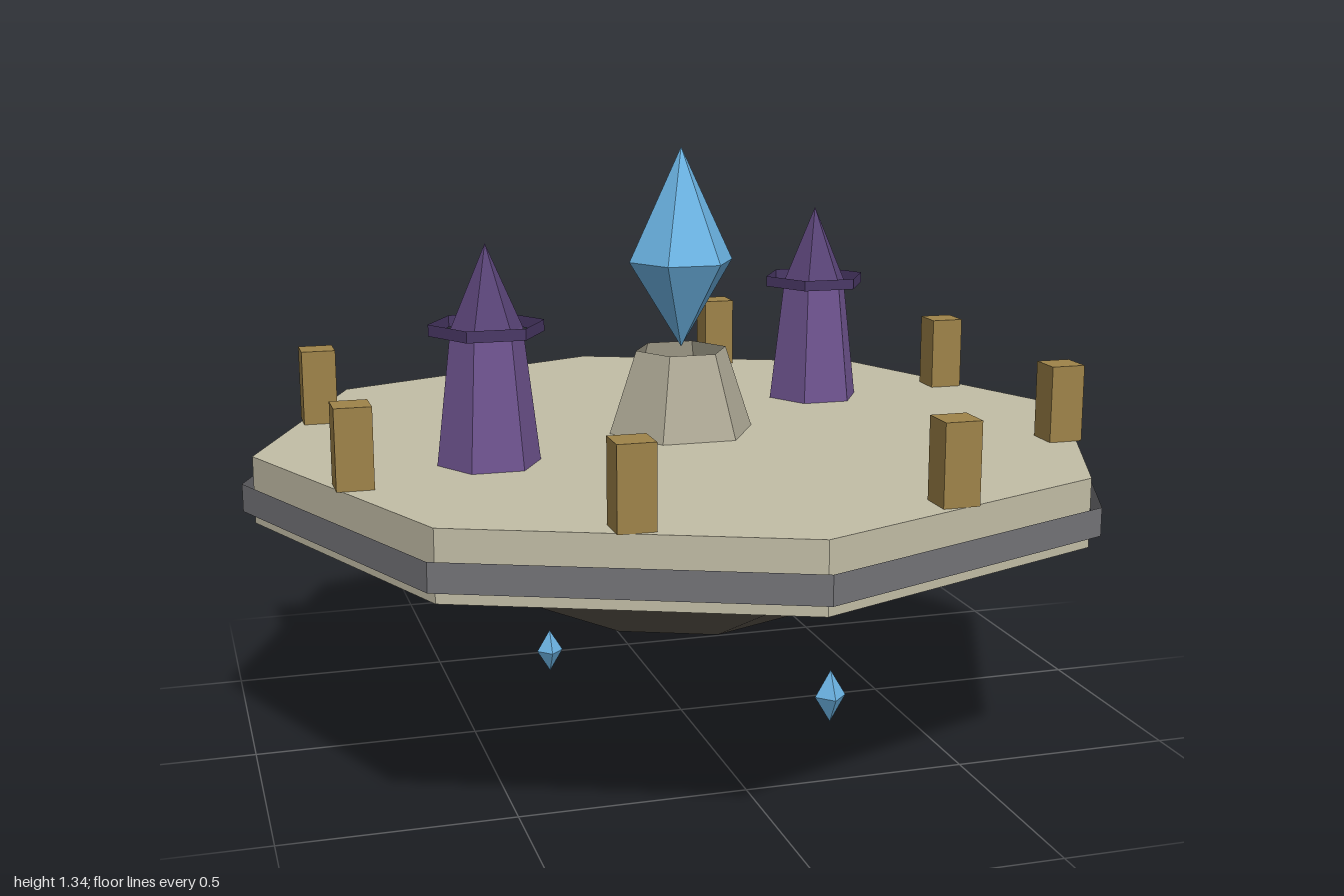
import * as THREE from 'three';

const paint = (color) => new THREE.MeshStandardMaterial({ color, flatShading: true, side: THREE.DoubleSide });

const stone = paint(0xc2bda6);
const pedestalStone = paint(0xb0ab97);
const rock = paint(0x5c554c);
const iron = paint(0x737377);
const towerWall = paint(0x6f5490);
const towerRoof = paint(0x5a4478);
const towerTrim = paint(0x4a3866);
const crystalBlue = paint(0x6cb4e4);
const wood = paint(0x9e8349);

function add(parent, name, geometry, material, x = 0, y = 0, z = 0) {
  const mesh = new THREE.Mesh(geometry, material);
  mesh.name = name;
  mesh.position.set(x, y, z);
  parent.add(mesh);
  return mesh;
}

// Open faceted shell between two heights; turn rotates its first corner away from +z
function shell(rBottom, rTop, y0, y1, sides, turn = 0) {
  const g = new THREE.CylinderGeometry(rTop, rBottom, y1 - y0, sides, 1, true, turn);
  return g.translate(0, (y0 + y1) / 2, 0);
}

// Six-sided shells have corners on the x axis
const hexShell = (rBottom, rTop, y0, y1) => shell(rBottom, rTop, y0, y1, 6, Math.PI / 6);

export function createModel() {
  const model = new THREE.Group();
  model.name = 'floatingPlatform';
  const deckY = 0.69;

  // Octagonal platform, open underneath
  add(model, 'deckWall', shell(0.975, 0.975, 0.54, deckY, 8), stone);
  add(model, 'deck', new THREE.CircleGeometry(0.975, 8).rotateX(-Math.PI / 2), stone, 0, deckY, 0);
  add(model, 'rimBand', shell(1, 1, 0.568, 0.63, 8), iron);
  add(model, 'underside', shell(0.29, 0.854, 0.283, 0.54, 8), rock);

  // Central pedestal with hovering crystal
  add(model, 'pedestal', hexShell(0.171, 0.107, deckY, 0.88), pedestalStone);
  const crystal = new THREE.Group();
  crystal.name = 'centralCrystal';
  add(crystal, 'crystalTop', hexShell(0.122, 0, 1.083, 1.34), crystalBlue);
  add(crystal, 'crystalBottom', hexShell(0, 0.122, 0.885, 1.083), crystalBlue);
  model.add(crystal);

  // Two towers, each with a pointed roof and a thin hoop
  for (const [x, z] of [[-0.488, 0.198], [0.429, -0.288]]) {
    const tower = new THREE.Group();
    tower.name = 'tower';
    tower.position.set(x, 0, z);
    add(tower, 'towerBody', hexShell(0.113, 0.078, deckY, 0.983), towerWall);
    add(tower, 'towerRoof', hexShell(0.078, 0, 0.983, 1.163), towerRoof);
    add(tower, 'towerHoop', hexShell(0.125, 0.125, 0.971, 0.996), towerTrim);
    model.add(tower);
  }

  // Posts at the middle of each rim edge
  for (let i = 0; i < 8; i++) {
    const a = (i + 0.5) * Math.PI / 4;
    add(model, 'post', new THREE.BoxGeometry(0.078, 0.173, 0.078), wood,
      0.861 * Math.sin(a), deckY + 0.0865, 0.861 * Math.cos(a));
  }

  // Small crystals drifting below: x, y, z, radius, half height
  for (const [x, y, z, r, h] of [[-0.288, 0.13, -0.144, 0.031, 0.051], [0.315, 0.064, 0.173, 0.038, 0.064]]) {
    add(model, 'smallCrystal', new THREE.OctahedronGeometry(1).scale(r, h, r), crystalBlue, x, y, z);
  }

  return model;
}
